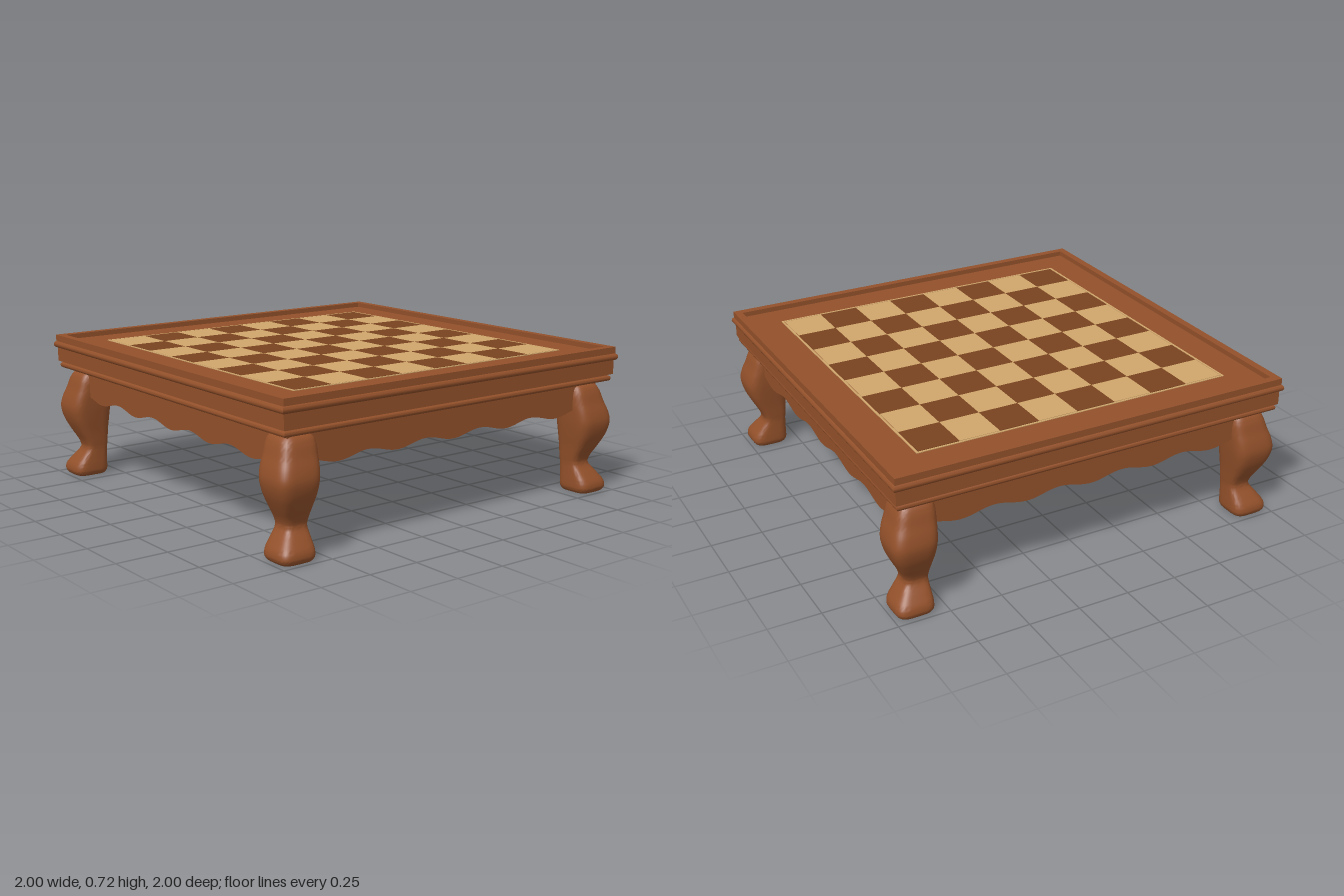
import * as THREE from 'three';
import { toCreasedNormals } from 'three/addons/utils/BufferGeometryUtils.js';

const material = (name, color) => {
  const m = new THREE.MeshStandardMaterial({ color });
  m.name = name;
  return m;
};

// Square moulding turned from a [halfWidth, y] profile listed bottom to top
function squareMoulding(profile) {
  const pts = profile.map(([r, y]) => new THREE.Vector2(r * Math.SQRT2, y));
  const g = new THREE.LatheGeometry(pts, 4);
  g.rotateY(Math.PI / 4);
  return toCreasedNormals(g, 0.6);
}

// Half-round bead profile between two heights
function bead(edge, bulge, y0, y1) {
  const pts = [];
  for (let i = 0; i <= 8; i++) {
    const a = (i / 8) * Math.PI;
    pts.push([edge + bulge * Math.sin(a), (y0 + y1) / 2 - ((y1 - y0) / 2) * Math.cos(a)]);
  }
  return pts;
}

// Curved leg: rounded-square rings swept along [y, outer, inner] stations
function legGeometry() {
  const stations = [
    [0.005, 0.978, 0.812], [0.02, 0.986, 0.805], [0.05, 0.982, 0.804], [0.09, 0.955, 0.806],
    [0.14, 0.921, 0.807], [0.17, 0.926, 0.804], [0.23, 0.957, 0.798], [0.29, 0.985, 0.79],
    [0.35, 0.998, 0.783], [0.4, 0.99, 0.779], [0.45, 0.972, 0.776], [0.5, 0.956, 0.777],
    [0.528, 0.94, 0.786], [0.545, 0.91, 0.82],
  ];
  const curve = new THREE.CatmullRomCurve3(stations.map(([y, o, i]) => new THREE.Vector3(o, y, i)));
  const rings = curve.getPoints(52).map((p) => [p.y, (p.x + p.z) / 2, (p.x - p.z) / 2]);
  const first = rings[0], last = rings[rings.length - 1];
  rings.unshift([0, first[1], 0], [0, first[1], first[2] * 0.93]);
  rings.push([last[0], last[1], 0]);

  const sides = 40, position = [], index = [];
  const round = (v) => Math.sign(v) * Math.sqrt(Math.abs(v));
  rings.forEach(([y, c, h], r) => {
    for (let s = 0; s < sides; s++) {
      const t = (s / sides) * Math.PI * 2;
      position.push(c + h * round(Math.cos(t)), y, c + h * round(Math.sin(t)));
      if (r === rings.length - 1) continue;
      const a = r * sides + s, b = r * sides + ((s + 1) % sides);
      index.push(a, a + sides, b, b, a + sides, b + sides);
    }
  });
  const g = new THREE.BufferGeometry();
  g.setAttribute('position', new THREE.Float32BufferAttribute(position, 3));
  g.setIndex(index);
  return toCreasedNormals(g, 0.8);
}

// Apron board with a scalloped lower edge
function apronGeometry() {
  const half = 0.915, steps = 110;
  const shape = new THREE.Shape();
  shape.moveTo(half, 0.555);
  shape.lineTo(-half, 0.555);
  for (let i = 0; i <= steps; i++) {
    const x = -half + (2 * half * i) / steps;
    shape.lineTo(x, 0.407 - 0.0135 * Math.cos((x / 0.328) * Math.PI * 2));
  }
  const g = new THREE.ExtrudeGeometry(shape, { depth: 0.04, bevelEnabled: false });
  g.translate(0, 0, 0.88);
  return toCreasedNormals(g, 0.6);
}

export function createModel() {
  const model = new THREE.Group();
  model.name = 'chessTable';
  const wood = material('reddish wood', 0x92502a);
  const dark = material('dark square wood', 0x784320);
  const light = material('light square wood', 0xd0a56b);

  const add = (name, geometry, mat, parent = model) => {
    const mesh = new THREE.Mesh(geometry, mat);
    mesh.name = name;
    parent.add(mesh);
    return mesh;
  };
  const box = (w, h, d, x, y, z) => new THREE.BoxGeometry(w, h, d).translate(x, y, z);

  // Table top with two beads and a raised rim around the sunken field
  const field = 0.692;
  add('tableTop', squareMoulding([
    [0, 0.548],
    ...bead(0.966, 0.012, 0.548, 0.575),
    [0.966, 0.582], [0.985, 0.582], [0.985, 0.65],
    ...bead(0.985, 0.015, 0.651, 0.684),
    [0.99, 0.684], [0.99, 0.716],
    [0.952, 0.716], [0.952, field], [0, field],
  ]), wood);

  // Playing board: pale inlaid line, a thin gap, then the squares
  const line = new THREE.Group();
  line.name = 'boardBorder';
  model.add(line);
  for (const side of [-1, 1]) {
    add('borderStrip', box(1.6, 0.006, 0.01, 0, field, side * 0.795), light, line);
    add('borderStrip', box(0.01, 0.006, 1.58, side * 0.795, field, 0), light, line);
  }
  const board = new THREE.Group();
  board.name = 'boardSquares';
  model.add(board);
  const size = 1.573 / 8;
  const square = new THREE.BoxGeometry(size, 0.006, size);
  for (let i = 0; i < 8; i++) {
    for (let j = 0; j < 8; j++) {
      const isLight = (i + j) % 2 === 0;
      const tile = add(isLight ? 'lightSquare' : 'darkSquare', square, isLight ? light : dark, board);
      tile.position.set((i - 3.5) * size, field, (j - 3.5) * size);
    }
  }

  // One apron, leg and leg block per quarter turn
  const leg = legGeometry();
  const apron = apronGeometry();
  const block = box(0.1, 0.03, 0.1, 0.877, 0.54, 0.877);
  for (let k = 0; k < 4; k++) {
    const quarter = new THREE.Group();
    quarter.name = 'tableQuarter';
    quarter.rotation.y = (k * Math.PI) / 2;
    model.add(quarter);
    add('apron', apron, wood, quarter);
    add('leg', leg, wood, quarter);
    add('legBlock', block, wood, quarter);
  }
  return model;
}
